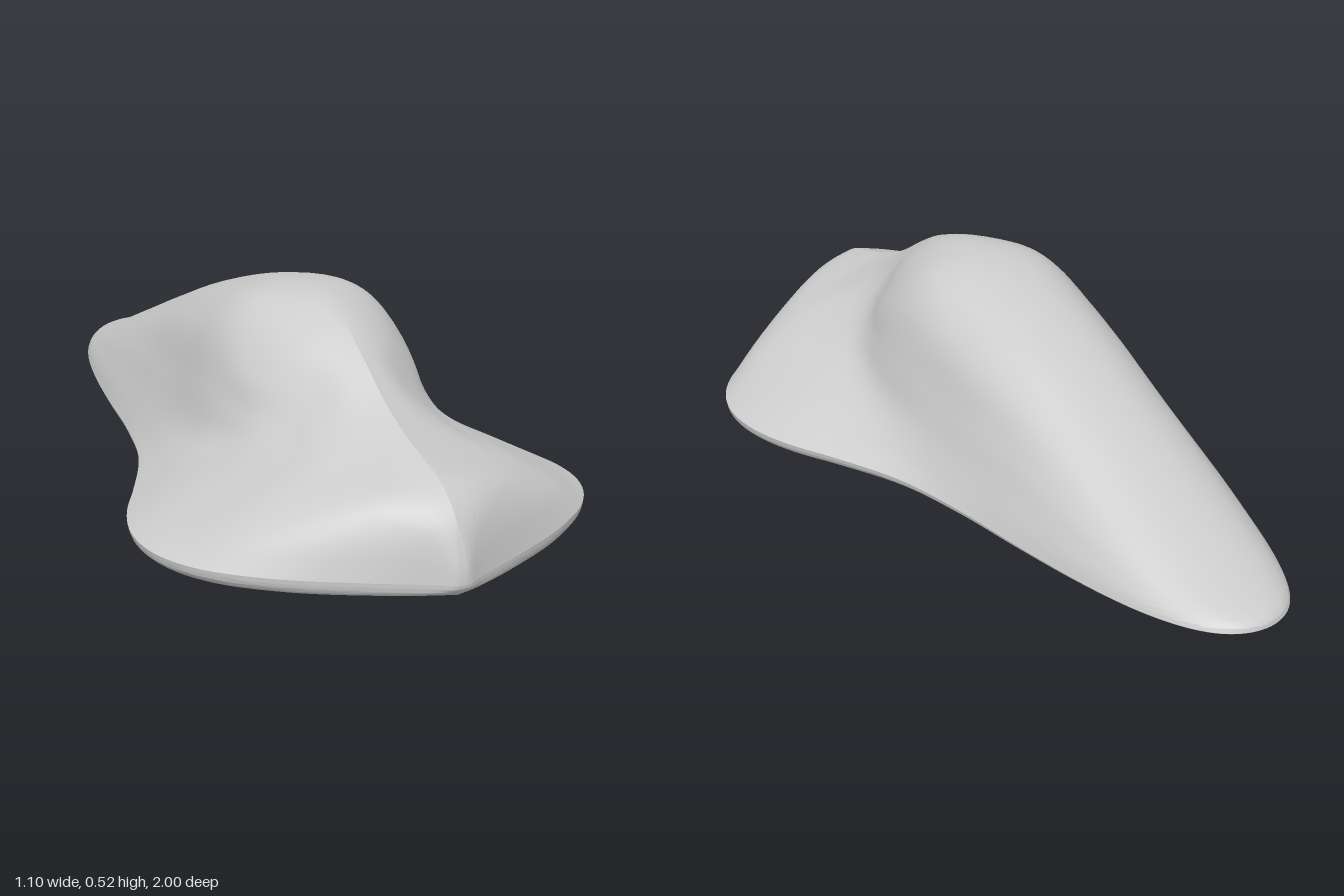
import * as THREE from 'three';
import { toCreasedNormals } from 'three/addons/utils/BufferGeometryUtils.js';

const RIM = 0.07;

// Smooth curve through (xs, ys), one-sided at the ends
function spline(xs, ys, x) {
  const n = xs.length;
  let k = 0;
  while (k < n - 2 && x > xs[k + 1]) k++;
  const slope = (i) => (ys[i + 1] - ys[i]) / (xs[i + 1] - xs[i]);
  const tangent = (i) => {
    if (i === 0) return slope(0);
    if (i === n - 1) return slope(n - 2);
    const a = xs[i] - xs[i - 1], b = xs[i + 1] - xs[i];
    return (slope(i - 1) * b + slope(i) * a) / (a + b);
  };
  const d = xs[k + 1] - xs[k], t = (x - xs[k]) / d, s = 1 - t;
  return s * s * (1 + 2 * t) * ys[k] + t * t * (1 + 2 * s) * ys[k + 1]
    + t * s * d * (s * tangent(k) - t * tangent(k + 1));
}

// Profile along the length; the angle parameter keeps both ends round
const angle = (z) => Math.acos(THREE.MathUtils.clamp(-z, -1, 1));
function profile(points) {
  const xs = points.map((p) => angle(p[0])), ys = points.map((p) => p[1]);
  return (z) => spline(xs, ys, angle(z));
}

// Half width, top line and keel line as [z, value]
const halfWidth = profile([[-1, 0], [-0.95, 0.107], [-0.8, 0.19], [-0.6, 0.243], [-0.4, 0.278],
  [-0.2, 0.308], [0, 0.355], [0.2, 0.447], [0.3, 0.5], [0.4, 0.536], [0.5, 0.548], [0.6, 0.53],
  [0.7, 0.472], [0.8, 0.36], [0.9, 0.195], [0.96, 0.08], [1, 0]]);
const topLine = profile([[-1, 0.07], [-0.8, 0.16], [-0.6, 0.25], [-0.4, 0.34], [-0.2, 0.425],
  [0, 0.492], [0.1, 0.515], [0.22, 0.525], [0.3, 0.518], [0.4, 0.487], [0.5, 0.432], [0.6, 0.368],
  [0.7, 0.322], [0.8, 0.292], [0.88, 0.267], [0.95, 0.214], [0.99, 0.13], [1, 0.07]]);
const keelLine = profile([[-1, 0.07], [-0.5, 0.05], [0, 0.025], [0.3, 0.008], [0.6, 0],
  [0.8, 0.008], [0.9, 0.019], [0.96, 0.032], [1, 0.07]]);

// Upper half-sections from centre to rim: u = share of width, v = share of height
const stations = [
  { z: -1, u: [0, 0.32, 0.6, 0.79, 0.9, 0.97, 1], v: [1, 0.95, 0.8, 0.6, 0.4, 0.2, 0] },
  { z: -0.4, u: [0, 0.32, 0.59, 0.77, 0.875, 0.95, 1], v: [1, 0.955, 0.8, 0.555, 0.33, 0.15, 0] },
  { z: 0, u: [0, 0.34, 0.58, 0.7, 0.79, 0.9, 1], v: [1, 0.945, 0.76, 0.476, 0.26, 0.1, 0] },
  { z: 0.2, u: [0, 0.29, 0.47, 0.573, 0.65, 0.81, 1], v: [1, 0.945, 0.77, 0.484, 0.264, 0.115, 0] },
  { z: 0.35, u: [0, 0.23, 0.385, 0.45, 0.54, 0.77, 1], v: [1, 0.89, 0.67, 0.48, 0.31, 0.15, 0] },
  { z: 0.5, u: [0, 0.11, 0.22, 0.35, 0.49, 0.73, 1], v: [1, 0.917, 0.75, 0.555, 0.42, 0.22, 0] },
  { z: 0.7, u: [0, 0.15, 0.33, 0.48, 0.65, 0.85, 1], v: [1, 0.89, 0.76, 0.65, 0.5, 0.26, 0] },
  { z: 0.9, u: [0, 0.15, 0.3, 0.48, 0.65, 0.83, 1], v: [1, 0.96, 0.91, 0.82, 0.67, 0.4, 0] },
  { z: 1, u: [0, 0.15, 0.3, 0.48, 0.65, 0.83, 1], v: [1, 0.96, 0.91, 0.82, 0.67, 0.4, 0] },
];
const stationZ = stations.map((s) => s.z);
const knots = [0, 1, 2, 3, 4, 5, 6];

function upperSection(z) {
  const u = knots.map((k) => spline(stationZ, stations.map((s) => s.u[k]), z));
  const v = knots.map((k) => spline(stationZ, stations.map((s) => s.v[k]), z));
  // The crown is round at the back and turns into a ridge toward the nose
  const ridge = THREE.MathUtils.smoothstep(z, 0.3, 0.6);
  const ks = [-1, ...knots];
  const us = [-u[1], ...u];
  const vs = [THREE.MathUtils.lerp(v[1], 2 - v[1], ridge), ...v];
  const w = halfWidth(z), h = topLine(z) - RIM;
  return (t) => [w * spline(ks, us, t * 6), RIM + h * spline(ks, vs, t * 6)];
}

function lowerSection(z) {
  const w = halfWidth(z), d = RIM - keelLine(z);
  const us = [0, 0.4, 0.75, 0.92, 0.985, 1], vs = [1, 0.88, 0.74, 0.58, 0.32, 0];
  return (t) => [w * spline(knots.slice(0, 6), us, t * 5), RIM - d * spline(knots.slice(0, 6), vs, t * 5)];
}

// Loft mirrored half-sections from tail to nose
function loft(section, flip) {
  const rows = 110, half = 32, cols = half * 2;
  const positions = [], index = [];
  for (let i = 0; i <= rows; i++) {
    const z = -Math.cos((Math.PI * i) / rows);
    const at = section(z);
    for (let j = 0; j <= cols; j++) {
      const side = 1 - j / half;
      const [x, y] = at(Math.abs(side));
      positions.push(x * Math.sign(side), y, z);
    }
  }
  for (let i = 0; i < rows; i++) {
    for (let j = 0; j < cols; j++) {
      const a = i * (cols + 1) + j, b = a + 1, c = a + cols + 1, d = c + 1;
      if (flip) index.push(a, c, b, b, c, d);
      else index.push(a, b, c, b, d, c);
    }
  }
  const geometry = new THREE.BufferGeometry();
  geometry.setAttribute('position', new THREE.Float32BufferAttribute(positions, 3));
  geometry.setIndex(index);
  return toCreasedNormals(geometry, 0.4);
}

export function createModel() {
  const group = new THREE.Group();
  group.name = 'body';
  const material = new THREE.MeshStandardMaterial({ color: 0xcccccc, side: THREE.DoubleSide });

  // Domed upper shell with the flared front skirt
  const upper = new THREE.Mesh(loft(upperSection, false), material);
  upper.name = 'upperShell';

  // Shallow underside meeting the shell at the sharp rim
  const lower = new THREE.Mesh(loft(lowerSection, true), material);
  lower.name = 'underside';

  group.add(upper, lower);
  return group;
}
